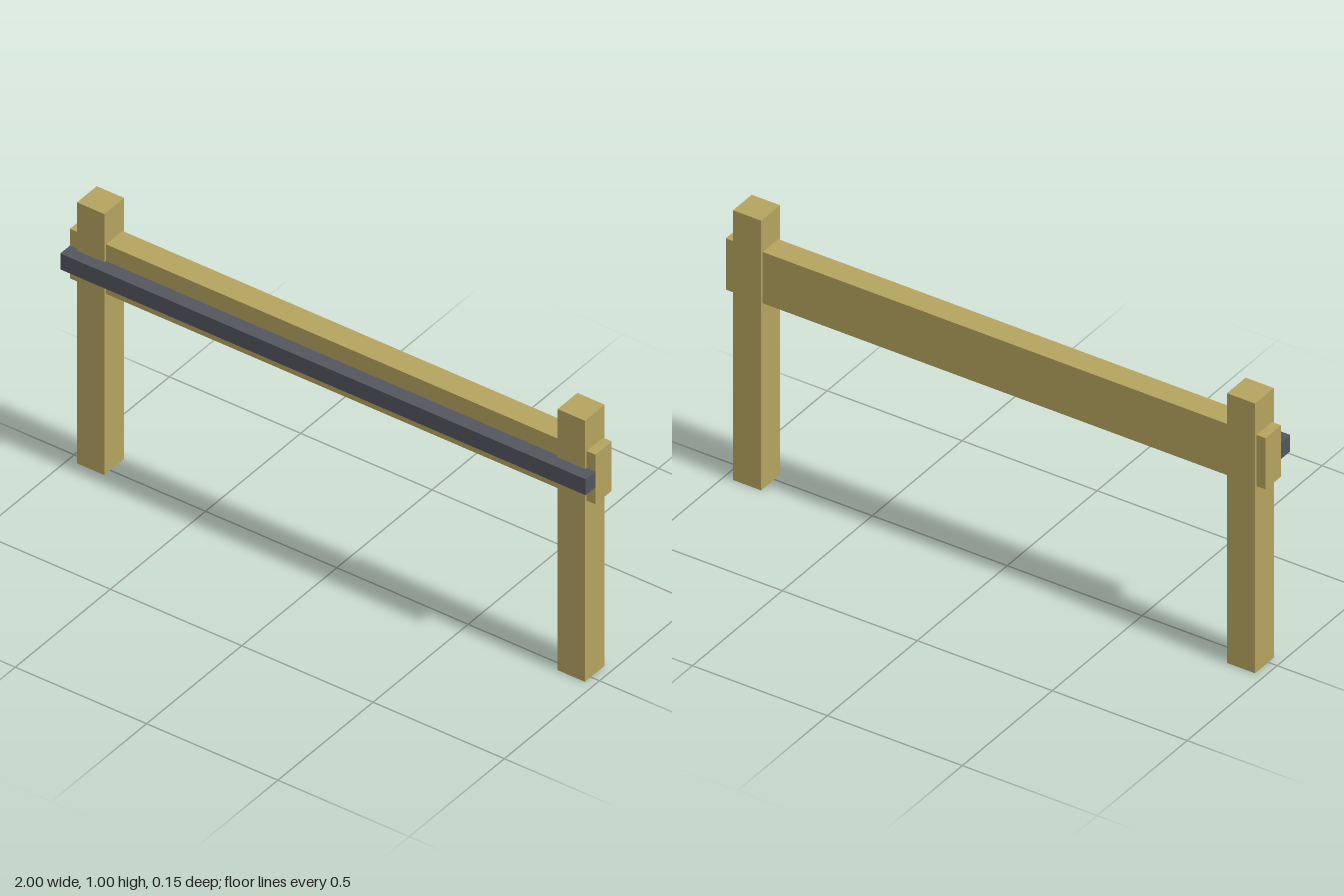
import * as THREE from 'three';

const wood = new THREE.MeshStandardMaterial({ color: 0xb5a45f });
wood.name = 'wood';
const darkMetal = new THREE.MeshStandardMaterial({ color: 0x53565e });
darkMetal.name = 'dark metal';

// Box given by its [min, max] extent on each axis
function box(name, material, [x0, x1], [y0, y1], [z0, z1]) {
  const mesh = new THREE.Mesh(new THREE.BoxGeometry(x1 - x0, y1 - y0, z1 - z0), material);
  mesh.position.set((x0 + x1) / 2, (y0 + y1) / 2, (z0 + z1) / 2);
  mesh.name = name;
  return mesh;
}

export function createModel() {
  const model = new THREE.Group();
  model.name = 'hitchingRail';

  // Upright posts
  model.add(box('leftPost', wood, [0.863, 0.967], [0, 1], [-0.073, 0.031]));
  model.add(box('rightPost', wood, [-0.967, -0.863], [0, 1], [-0.073, 0.031]));

  // Plank running through both posts
  model.add(box('plank', wood, [-1, 1], [0.689, 0.879], [-0.064, 0.022]));

  // Dark bar along the front of the plank
  model.add(box('frontBar', darkMetal, [-1, 1], [0.754, 0.815], [0.021, 0.073]));

  return model;
}
